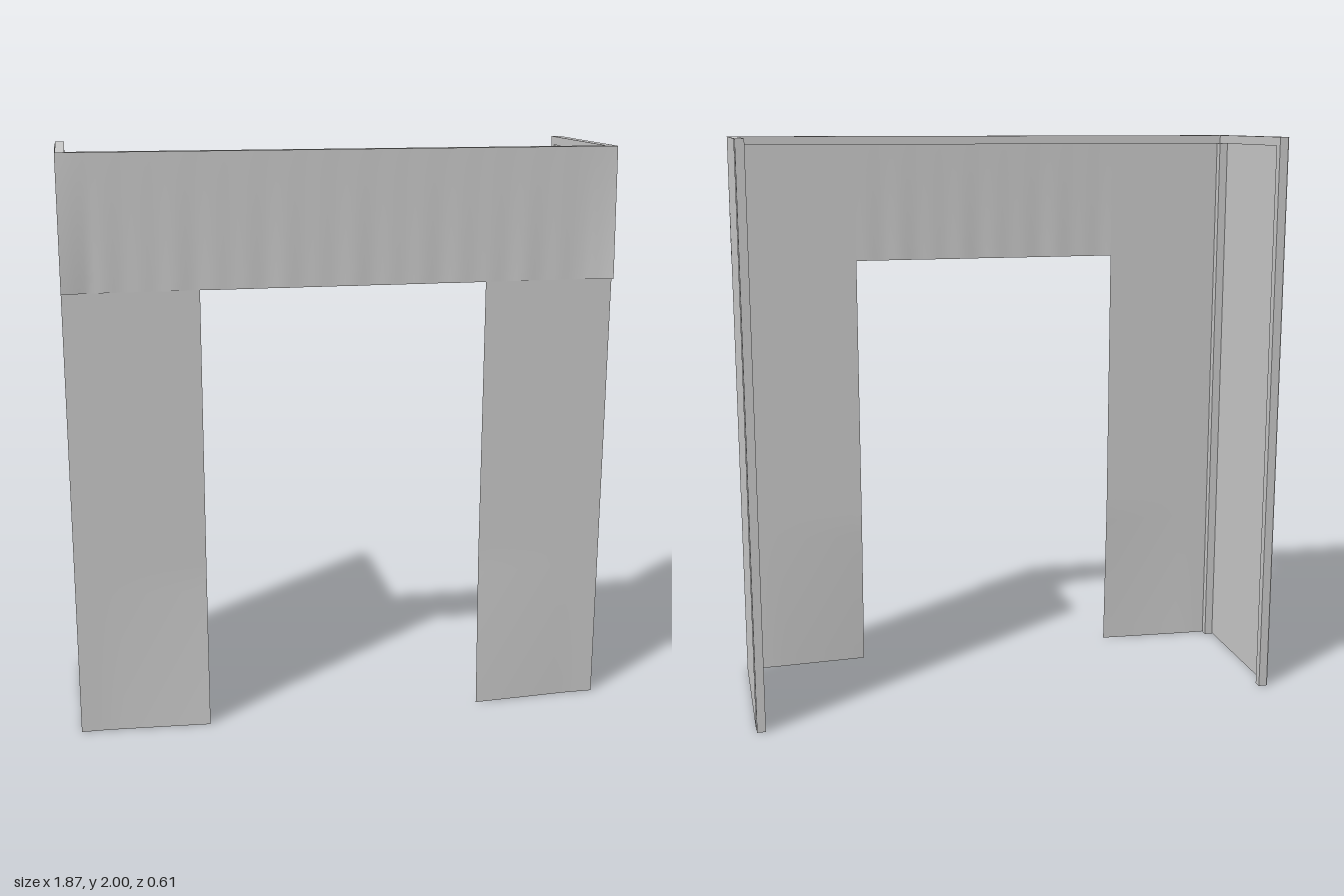
import * as THREE from 'three';

const material = new THREE.MeshStandardMaterial({ color: 0xcccccc });
const cloth = new THREE.MeshStandardMaterial({ color: 0xcccccc, side: THREE.DoubleSide });

const X = 0.937, FRONT = 0.285, BACK = -0.305, BAR = 0.03;

export function createModel() {
  const model = new THREE.Group();

  function box(name, w, h, d, x, y, z) {
    const mesh = new THREE.Mesh(new THREE.BoxGeometry(w, h, d), material);
    mesh.name = name;
    mesh.position.set(x, y, z);
    model.add(mesh);
  }

  // Upright sheet facing +z; depth(x, y) gives its z
  function sheet(name, x0, x1, y0, y1, nx, ny, depth) {
    const geometry = new THREE.PlaneGeometry(x1 - x0, y1 - y0, nx, ny);
    geometry.translate((x0 + x1) / 2, (y0 + y1) / 2, 0);
    const p = geometry.attributes.position;
    for (let i = 0; i < p.count; i++) p.setZ(i, depth(p.getX(i), p.getY(i)));
    geometry.computeVertexNormals();
    const mesh = new THREE.Mesh(geometry, cloth);
    mesh.name = name;
    model.add(mesh);
  }

  // Top rails
  const inner = X - 0.002 - BAR;
  box('frontRail', 2 * (X - 0.002), BAR, BAR, 0, 2 - BAR / 2, FRONT - 0.002 - BAR / 2);

  for (const [side, s] of [['left', 1], ['right', -1]]) {
    const x = s * (inner + BAR / 2);
    const railBack = BACK, railFront = FRONT - 0.002 - BAR;
    box(side + 'Rail', BAR, BAR, railFront - railBack, x, 2 - BAR / 2, (railFront + railBack) / 2);

    // Corner posts
    box(side + 'FrontPost', BAR, 2 - BAR, BAR, x, 1 - BAR / 2, FRONT - 0.002 - BAR / 2);
    box(side + 'BackPost', BAR, 2 - BAR, BAR, x, 1 - BAR / 2, BACK + BAR / 2);

    // Side drape
    const drape = new THREE.Mesh(new THREE.PlaneGeometry(FRONT - BACK, 2), cloth);
    drape.name = side + 'Drape';
    drape.rotation.y = s * Math.PI / 2;
    drape.position.set(s * X, 1, (FRONT + BACK) / 2);
    model.add(drape);

    // Front drape, its inner lower corner swinging outwards
    const a = s * X, b = s * 0.487;
    sheet(side + 'FrontDrape', Math.min(a, b), Math.max(a, b), 0, 2, 12, 40, (px, py) => {
      const inward = Math.max(0, (0.84 - Math.abs(px)) / 0.353);
      const low = Math.max(0, 1 - py / 0.55);
      return FRONT + 0.02 * inward * low;
    });
  }

  // Valance with soft pleats and flared lower corners
  sheet('valance', -X, X, 1.55, 2, 120, 10, (x, y) => {
    const hang = (2 - y) / 0.45;
    const corner = Math.max(0, (Math.abs(x) - 0.84) / 0.097);
    const pleat = 0.5 + 0.3 * Math.sin(x * 53) + 0.2 * Math.sin(x * 31 + 1);
    return FRONT + 0.001 + hang * (0.004 * pleat * (1 - corner) + 0.019 * corner);
  });

  return model;
}
